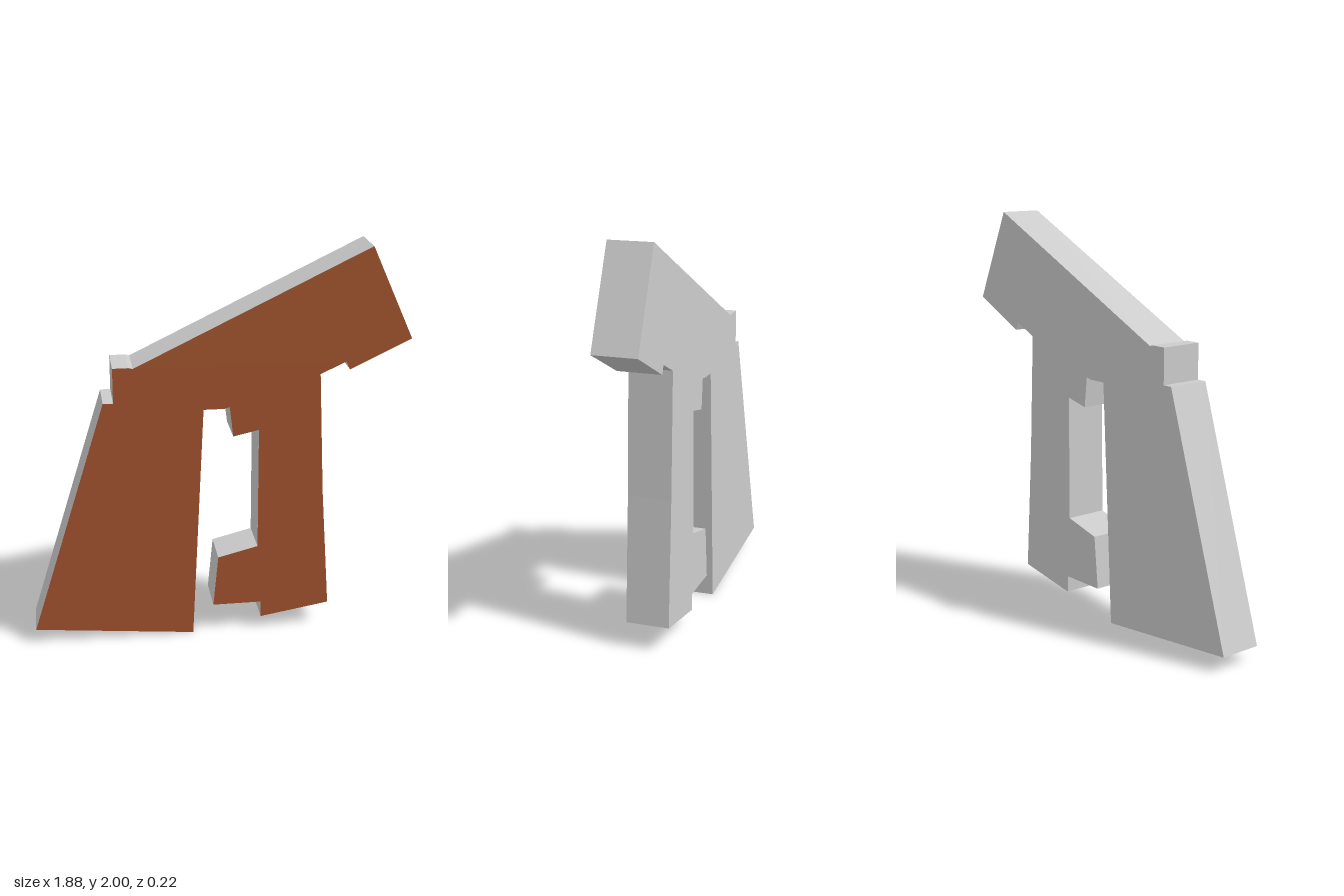
import * as THREE from 'three';

const DEPTH = 0.216;

// Outline, counter-clockwise from the outer foot of the wide leg
const OUTLINE = [
  // wide leg
  [-0.942, 0.077], [-0.14, 0.002], [-0.082, 1.222],
  // slot between the legs
  [0.02, 1.222], [0.046, 1.23], [0.064, 1.076], [0.191, 1.104], [0.191, 0.473],
  // narrow leg with its toe
  [-0.01, 0.422], [-0.035, 0.154], [0.21, 0.154], [0.212, 0.069], [0.562, 0.128],
  [0.519, 0.76], [0.491, 1.378],
  // slanted head
  [0.617, 1.436], [0.636, 1.395], [0.938, 1.54], [0.73, 2],
  // stepped shoulder
  [-0.42, 1.445], [-0.44, 1.45], [-0.518, 1.45], [-0.518, 1.275], [-0.568, 1.275],
];

export function createModel() {
  const model = new THREE.Group();
  model.name = 'cutoutPlate';
  const shape = new THREE.Shape(OUTLINE.map(([x, y]) => new THREE.Vector2(x, y)));

  // Thick grey slab
  const slab = new THREE.Mesh(
    new THREE.ExtrudeGeometry(shape, { depth: DEPTH, bevelEnabled: false }),
    new THREE.MeshStandardMaterial({ color: 0xcccccc })
  );
  slab.name = 'slab';
  slab.position.z = -DEPTH / 2;

  // Coloured sheet on the front face only
  const face = new THREE.Mesh(
    new THREE.ShapeGeometry(shape),
    new THREE.MeshStandardMaterial({ color: 0xa0522d })
  );
  face.name = 'frontFace';
  face.position.z = DEPTH / 2 + 0.001;

  model.add(slab, face);
  return model;
}
